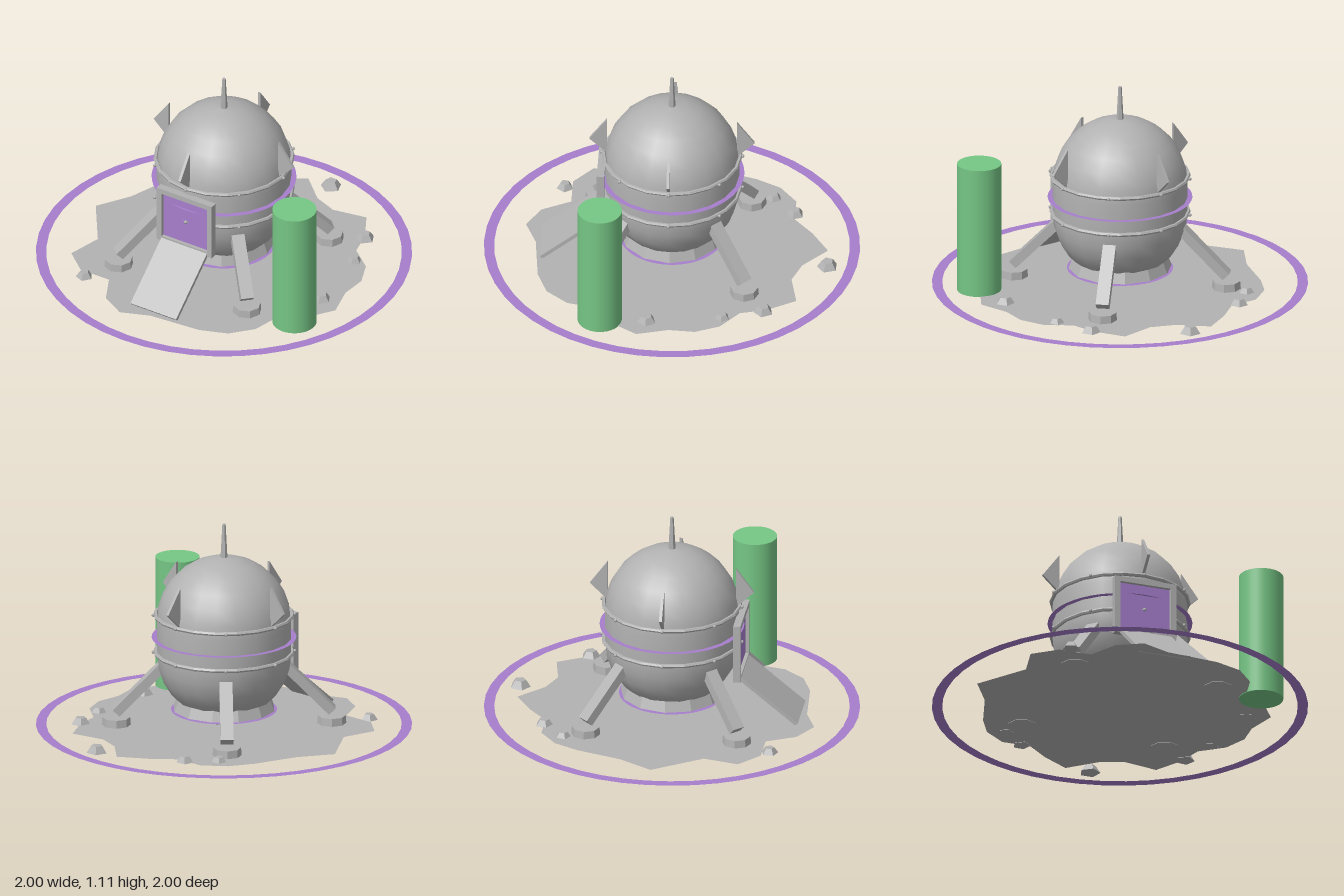
import * as THREE from 'three';

const paint = (name, color, extra = {}) => Object.assign(new THREE.MeshStandardMaterial({ color, ...extra }), { name });

export function createModel() {
  const root = new THREE.Group();
  root.name = 'landingPod';
  const grey = paint('grey metal and rock', 0xb2b2b2);
  const flatGrey = paint('grey metal and rock faceted', 0xb2b2b2, { flatShading: true, side: THREE.DoubleSide });
  const purple = paint('purple glow', 0xa67ecc, { side: THREE.DoubleSide });
  const green = paint('green', 0x76c685);

  const add = (name, geo, mat, x = 0, y = 0, z = 0, parent = root) => {
    const m = new THREE.Mesh(geo, mat);
    m.name = name;
    m.position.set(x, y, z);
    parent.add(m);
    return m;
  };
  const flatRing = (name, inner, outer, y) =>
    add(name, new THREE.RingGeometry(inner, outer, 48).rotateX(-Math.PI / 2), purple, 0, y);

  // Ground patch with an irregular outline (x, z)
  const outline = [
    [0, -.83], [.14, -.7], [.27, -.65], [.46, -.685], [.55, -.53], [.585, -.39], [.71, -.29], [.765, -.16],
    [.755, -.02], [.8, .15], [.7, .3], [.57, .4], [.54, .53], [.44, .645], [.29, .7], [0, .725],
    [-.155, .785], [-.29, .71], [-.37, .555], [-.55, .555], [-.675, .45], [-.63, .26], [-.81, 0],
    [-.7, -.18], [-.62, -.42], [-.55, -.55], [-.43, -.64], [-.27, -.64], [-.15, -.74],
  ].map(([x, z]) => new THREE.Vector2(x, -z));
  add('groundPatch', new THREE.ShapeGeometry(new THREE.Shape(outline)).rotateX(-Math.PI / 2), flatGrey, 0, .003);
  flatRing('groundRing', .945, 1, .003);

  // Rocks: x, z, radius
  const rocks = [[.14, -.835, .057], [-.32, -.64, .048], [-.455, -.52, .043], [.56, -.515, .053],
    [.63, -.3, .042], [.68, .1, .053], [-.5, .595, .046]];
  rocks.forEach(([x, z, r], i) => {
    const rock = add('rock', new THREE.CylinderGeometry(r * .55, r, r * .68, 5), flatGrey, x, r * .34, z);
    rock.rotation.y = i * 1.3;
  });

  // Hull: domed ends with a straight middle
  const profile = [];
  for (let i = 0; i <= 7; i++) {
    const a = (i / 7) * Math.PI / 2;
    profile.push(new THREE.Vector2(Math.sin(a) * .36, .4 - Math.cos(a) * .36));
  }
  for (let i = 0; i <= 7; i++) {
    const a = (i / 7) * Math.PI / 2;
    profile.push(new THREE.Vector2(Math.cos(a) * .36, .57 + Math.sin(a) * .36));
  }
  add('hull', new THREE.LatheGeometry(profile, 20), grey);

  // Skirt and engine below the hull
  add('skirt', new THREE.CylinderGeometry(.245, .275, .08, 12), flatGrey, 0, .13);
  add('engine', new THREE.CylinderGeometry(.22, .155, .045, 12), flatGrey, 0, .067);
  flatRing('skirtGlow', .24, .282, .085);

  // Bands with bolts, and the glowing ring between them
  for (const y of [.405, .61]) {
    add('hullBand', new THREE.TorusGeometry(.365, .011, 6, 20).rotateX(Math.PI / 2), flatGrey, 0, y);
    for (let i = 0; i < 8; i++) {
      const a = i * Math.PI / 4;
      add('bolt', new THREE.SphereGeometry(.01, 6, 4), grey, Math.sin(a) * .376, y, Math.cos(a) * .376);
    }
  }
  flatRing('hullGlow', .35, .385, .487);

  // Antenna
  add('antenna', new THREE.CylinderGeometry(.009, .02, .2, 6), flatGrey, 0, 1.012);

  // Fins on the four sides
  const finShape = new THREE.Shape([[.345, .61], [.44, .7], [.345, .83]].map((p) => new THREE.Vector2(...p)));
  const finGeo = new THREE.ExtrudeGeometry(finShape, { depth: .016, bevelEnabled: false }).translate(0, 0, -.008);
  for (let i = 0; i < 4; i++) add('fin', finGeo, flatGrey).rotation.y = i * Math.PI / 2;

  // Legs on the diagonals, each with a foot pad
  const top = new THREE.Vector2(.31, .345), foot = new THREE.Vector2(.575, .075);
  const dir = foot.clone().sub(top);
  for (let i = 0; i < 4; i++) {
    const leg = new THREE.Group();
    leg.name = 'leg';
    leg.rotation.y = Math.PI / 4 + i * Math.PI / 2;
    const strut = add('legStrut', new THREE.BoxGeometry(dir.length(), .05, .07), flatGrey,
      (top.x + foot.x) / 2, (top.y + foot.y) / 2, 0, leg);
    strut.rotation.z = Math.atan2(dir.y, dir.x);
    add('footPad', new THREE.CylinderGeometry(.074, .078, .045, 8), flatGrey, .573, .0225, 0, leg);
    root.add(leg);
  }

  // Door with a raised frame
  const rect = (Type, w, y0, y1) => new Type([[-w, y0], [w, y0], [w, y1], [-w, y1]].map((p) => new THREE.Vector2(...p)));
  const frame = rect(THREE.Shape, .174, .245, .572);
  frame.holes.push(rect(THREE.Path, .143, .272, .543));
  add('doorFrame', new THREE.ExtrudeGeometry(frame, { depth: .04, bevelEnabled: false }), flatGrey, 0, 0, .352);
  add('door', new THREE.BoxGeometry(.288, .274, .008), purple, 0, .407, .369);

  // Boarding ramp down to the ground
  const ramp = add('ramp', new THREE.BoxGeometry(.288, .02, .4), flatGrey, 0, .133, .535);
  ramp.rotation.x = Math.atan2(.25, .305);

  // Green column beside the pod
  add('greenColumn', new THREE.CylinderGeometry(.118, .118, .715, 32), green, .67, .3575, .35);

  return root;
}
